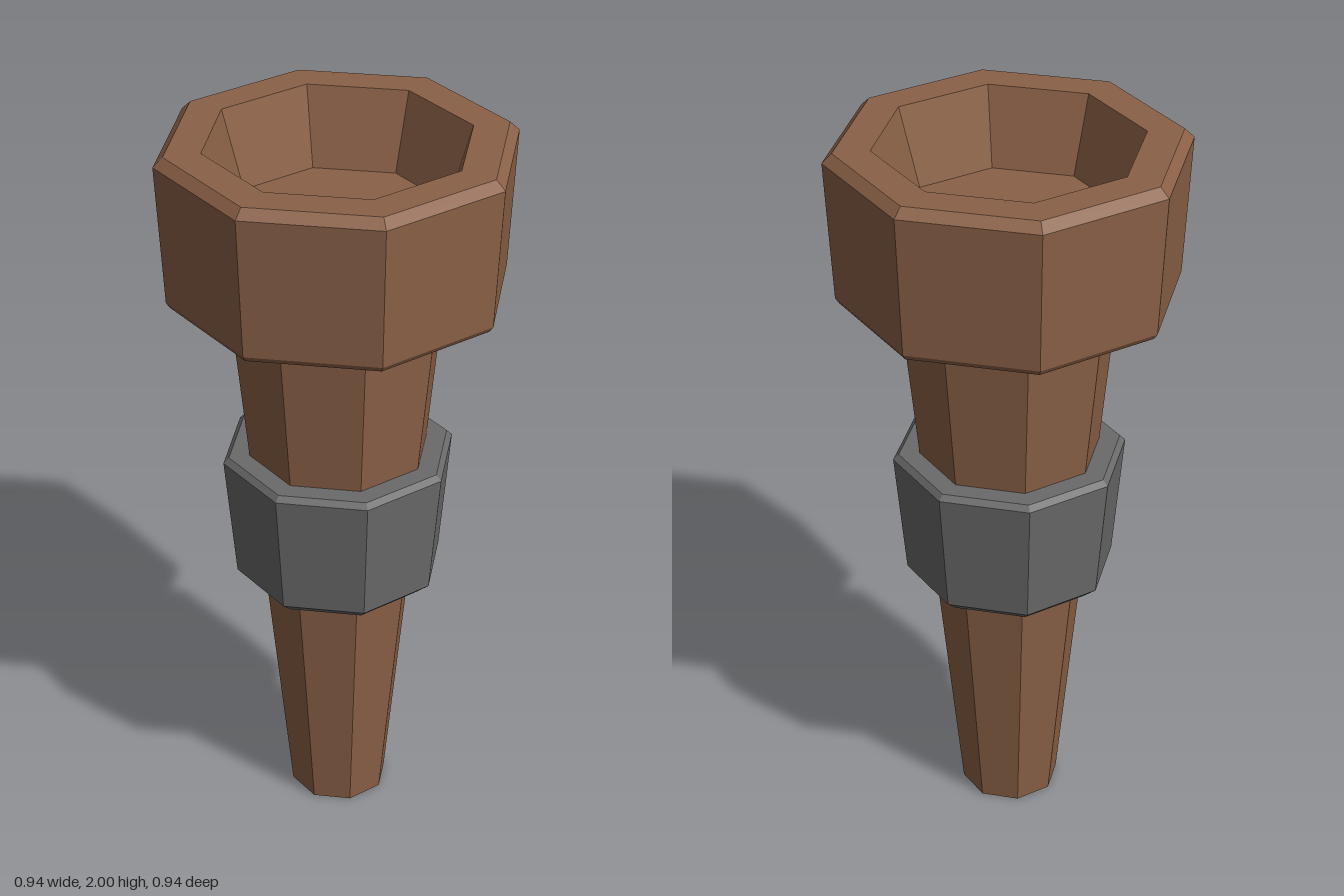
import * as THREE from 'three';

const SIDES = 8;
const wood = new THREE.MeshStandardMaterial({ color: 0x8b6147, flatShading: true });
const metal = new THREE.MeshStandardMaterial({ color: 0x6a6a6a, flatShading: true });

// Eight-sided turned part from a [radius, height] profile, corners on the axes
function turned(name, material, profile) {
  const points = profile.map(([r, y]) => new THREE.Vector2(r, y));
  const mesh = new THREE.Mesh(new THREE.LatheGeometry(points, SIDES), material);
  mesh.name = name;
  return mesh;
}

export function createModel() {
  const group = new THREE.Group();
  group.name = 'torch';

  // Tapered handle running up into the cup
  group.add(turned('handle', wood, [[0, 0], [0.135, 0], [0.29, 1.58]]));

  // Bevelled collar around the handle
  group.add(turned('collar', metal, [
    [0.206, 0.72], [0.25, 0.72], [0.284, 0.75], [0.315, 1.095], [0.3, 1.11], [0.244, 1.11],
  ]));

  // Hollow cup with bevelled rim and sloping inner walls
  group.add(turned('cup', wood, [
    [0.29, 1.58], [0.442, 1.58], [0.452, 1.595], [0.472, 1.975], [0.446, 2],
    [0.35, 2], [0.287, 1.79], [0, 1.79],
  ]));

  return group;
}
